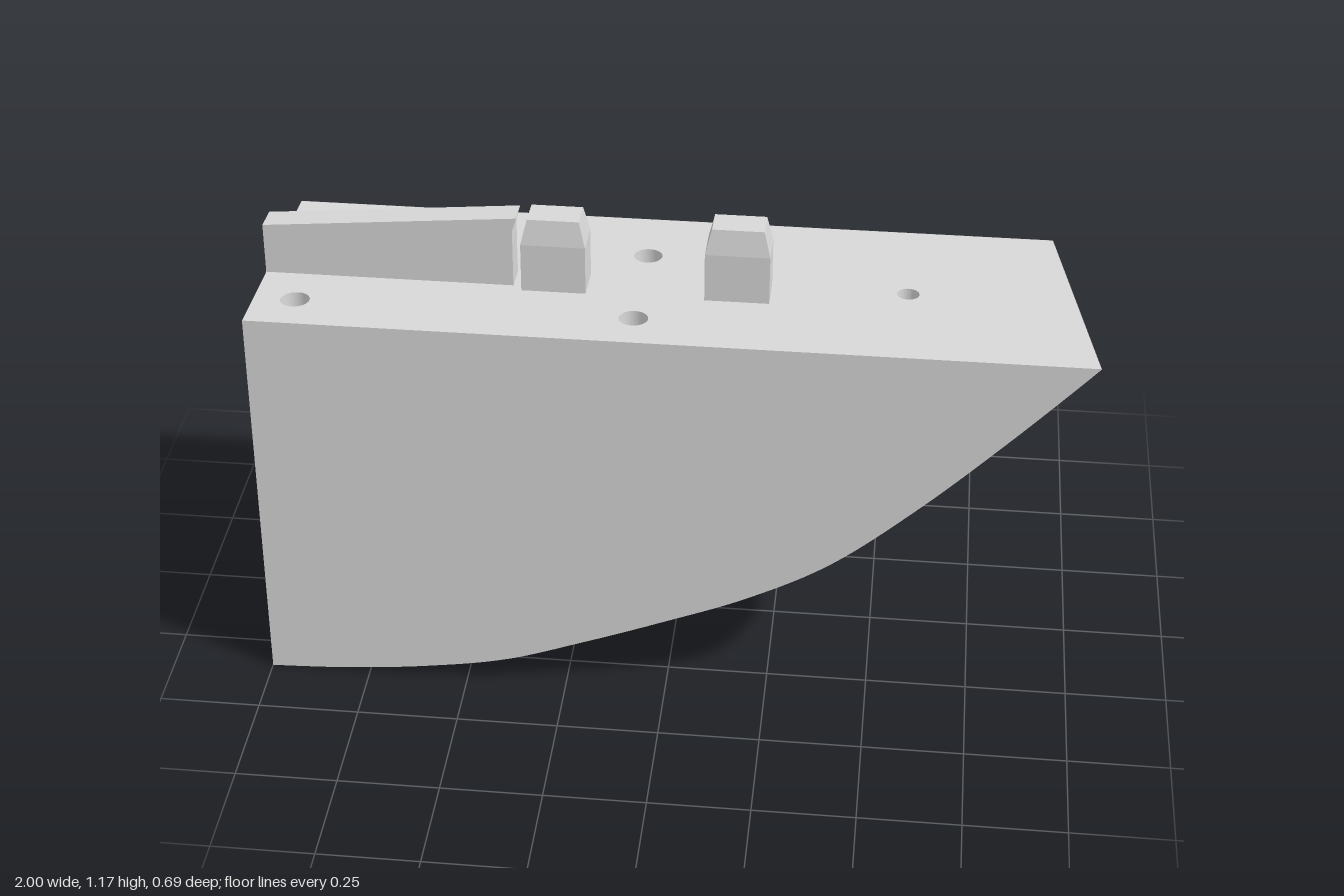
import * as THREE from 'three';
import { mergeGeometries, mergeVertices } from 'three/addons/utils/BufferGeometryUtils.js';

const TOP = 1.005, CEIL = 0.95, FRONT = 0.345, BACK = -0.282, IN_FRONT = 0.285, IN_W = 0.51;

// Height of the lower front edge along the length
const keel = new THREE.SplineCurve([0, 0.003, 0.012, 0.033, 0.07, 0.14, 0.218, 0.303, 0.418, 0.59, 0.79, TOP, 1.23]
  .map((y, i) => new THREE.Vector2(-1.2 + i * 0.2, y)));
const keelY = s => keel.getPoint((s + 1.2) / 2.4).y;
const lerp = THREE.MathUtils.lerp;

// Rise of the rounded back corner, width of the curved skin, and skew of the slanted tip
const rise = s => s < -0.47 ? lerp(0.2, 0.175, (s + 1) / 0.53)
  : s < 0.17 ? lerp(0.175, 0.145, (s + 0.47) / 0.64) : lerp(0.145, 0, (s - 0.17) / 0.83);
const width = s => s < -0.47 ? lerp(0.34, 0.56, (s + 1) / 0.53)
  : lerp(0.56, FRONT - BACK, Math.min(1, (s + 0.47) / 0.64));
const skew = (s, t) => s - 0.1 * t * ((s + 1) / 2) ** 2;
const round = t => 0.15 * t + 0.85 * (1 - Math.sqrt(Math.max(0, 1 - t ** 3)));

const skinY = (s, t) => keelY(s) + rise(s) * round(t);
const outer = (s, t) => [skew(s, t), skinY(s, t), FRONT - width(s) * t];
const inner = (s, t) => {
  const z = IN_FRONT - IN_W * t;
  return [skew(s, t), Math.min(CEIL, skinY(s, Math.min(1, (FRONT - z) / width(s))) + 0.06), z];
};

// Surface sampled from a rule f(a, b) with a, b in 0..1
function patch(f, na, nb, flip = false) {
  const pos = [], idx = [];
  for (let i = 0; i <= na; i++) for (let j = 0; j <= nb; j++) pos.push(...f(i / na, j / nb));
  for (let i = 0; i < na; i++) for (let j = 0; j < nb; j++) {
    const a = i * (nb + 1) + j, b = a + nb + 1;
    if (flip) idx.push(a, b + 1, b, a, a + 1, b + 1);
    else idx.push(a, b, b + 1, a, b + 1, a + 1);
  }
  const g = new THREE.BufferGeometry();
  g.setAttribute('position', new THREE.Float32BufferAttribute(pos, 3));
  g.setIndex(idx);
  return g;
}
function smooth(list) {
  const g = mergeVertices(mergeGeometries(list), 1e-4);
  g.computeVertexNormals();
  return g;
}

// Round openings through the curved skin: s, z, radius
const openings = [[-0.59, 0.083, 0.16], [-0.085, 0.09, 0.16], [0.56, 0.04, 0.05]];
const MARGIN = 1.2;
const toT = (s, z, isOuter) => isOuter ? (FRONT - z) / width(s) : (IN_FRONT - z) / IN_W;
// Point of an opening's edge as skin coordinates
const edgePoint = ([s, z, r], angle, isOuter) => {
  const u = s + r * Math.cos(angle);
  return [u, toT(u, z - r * Math.sin(angle), isOuter)];
};

// Curved sheet made of plain grids plus a square-to-circle ring around each opening
function skin(surf, isOuter, end) {
  const parts = [];
  const grid = (s0, s1, t0, t1) => parts.push(patch((a, b) =>
    surf(lerp(s0, s1, a), lerp(t0, t1, 1 - (1 - b) ** 2)), Math.max(6, Math.ceil((s1 - s0) * 50)), 36, isOuter));
  let from = -1;
  for (const o of openings) {
    const [s, z, r] = o, t = toT(s, z, isOuter);
    const ds = r * MARGIN, dt = ds / (isOuter ? width(s) : IN_W);
    grid(from, s - ds, 0, 1);
    grid(s - ds, s + ds, 0, t - dt);
    grid(s - ds, s + ds, t + dt, 1);
    parts.push(patch((a, b) => {
      const angle = b * Math.PI * 2, c = Math.cos(angle), d = Math.sin(angle);
      const k = 1 / Math.max(Math.abs(c), Math.abs(d)), p = edgePoint(o, angle, isOuter);
      return surf(lerp(p[0], s + ds * k * c, a), lerp(p[1], t + dt * k * d, a));
    }, 5, 80, isOuter));
    from = s + ds;
  }
  grid(from, end, 0, 1);
  return smooth(parts);
}

// Wall of an opening, from the outer sheet to the inner one
const openingWall = o => smooth([patch((a, b) => {
  const angle = a * Math.PI * 2;
  const u = outer(...edgePoint(o, angle, true)), v = inner(...edgePoint(o, angle, false));
  return u.map((n, i) => lerp(n, v[i], b));
}, 80, 1)]);

// Upright sheet between a lower edge rule and a level top
const wall = (edge, top, end, flip) => smooth([patch((a, b) => {
  const [x, y, z] = edge(lerp(-1, end, a));
  return [x, lerp(y, top, b), z];
}, 80, 1, flip)]);

const circle = (x, y, r) => new THREE.Path().absarc(x, y, r, 0, Math.PI * 2, true);

export function createModel() {
  const grey = new THREE.MeshStandardMaterial({ color: 0xd9d9d9, side: THREE.DoubleSide });
  grey.name = 'light grey';
  const black = new THREE.MeshStandardMaterial({ color: 0x020202, side: THREE.DoubleSide });
  black.name = 'black';

  const body = new THREE.Group();
  body.name = 'tiltedBody';
  const add = (name, geo, mat = grey) => {
    const m = new THREE.Mesh(geo, mat);
    m.name = name;
    body.add(m);
    return m;
  };

  // Curved underside and cavity floor
  add('curvedSkin', skin(outer, true, 1));
  add('cavityFloor', skin(inner, false, 0.92));
  openings.forEach(o => add('openingWall', openingWall(o)));

  // Side walls and the ledge under the back wall
  const backEdge = s => [skew(s, 1), keelY(s) + rise(s), BACK];
  add('frontWall', wall(s => outer(s, 0), TOP, 1, false));
  add('backWall', wall(backEdge, TOP, 1, true));
  add('frontWallInside', wall(s => inner(s, 0), CEIL, 0.92, true));
  add('backWallInside', wall(s => inner(s, 1), CEIL, 0.92, false));
  add('backLedge', smooth([patch((a, b) => {
    const s = lerp(-1, 0.17, a), p = outer(s, 1), q = backEdge(s);
    return p.map((n, i) => lerp(n, q[i], b));
  }, 40, 1, true)]), black);

  // Open end rim
  const V = (x, y) => new THREE.Vector2(x, y);
  const section = f => Array.from({ length: 33 }, (_, i) => {
    const p = f(-1, i / 32);
    return V(p[2], p[1]);
  });
  const rim = new THREE.Shape([V(FRONT, TOP), ...section(outer), V(BACK, backEdge(-1)[1]), V(BACK, TOP)]);
  rim.holes.push(new THREE.Path([V(IN_FRONT, CEIL), ...section(inner), V(IN_FRONT - IN_W, CEIL)]));
  add('openEndRim', new THREE.ShapeGeometry(rim).rotateY(-Math.PI / 2).translate(-1, 0, 0));

  // Top plate with screw holes, its underside drawn in at the tip
  const e = 0.001;
  const plate = new THREE.Shape([V(-1 + e, -FRONT + e), V(1 - e, -FRONT + e), V(0.9 - e, -BACK - e), V(-1 + e, -BACK - e)]);
  for (const x of [-0.9, -0.09]) for (const z of [-0.086, 0.229]) plate.holes.push(circle(x, -z, 0.035));
  plate.holes.push(circle(0.55, -0.037, 0.027));
  const plateGeo = new THREE.ExtrudeGeometry(plate, { depth: TOP - CEIL, bevelEnabled: false, curveSegments: 24 });
  const pp = plateGeo.attributes.position;
  for (let i = 0; i < pp.count; i++) if (pp.getZ(i) < 0.01 && pp.getX(i) > 0.8) pp.setX(i, pp.getX(i) - 0.07);
  plateGeo.computeVertexNormals();
  add('topPlate', plateGeo.rotateX(-Math.PI / 2).translate(0, CEIL, 0));

  // Sloped rail on top
  const rail = new THREE.Shape([V(-1, 1), V(-0.395, 1), V(-0.395, 1.15), V(-0.385, 1.185), V(-1, 1.132)]);
  add('rail', new THREE.ExtrudeGeometry(rail, { depth: 0.07, bevelEnabled: false }).translate(0, 0, 0.031));

  // Two tabs with tapered heads
  for (const x of [-0.295, 0.145]) {
    const box = new THREE.BoxGeometry(0.155, 0.19, 0.1, 1, 3, 1);
    const p = box.attributes.position;
    for (let i = 0; i < p.count; i++) if (p.getY(i) > 0.08) p.setXYZ(i, p.getX(i) * 0.8, p.getY(i), p.getZ(i) * 0.8);
    const tab = box.toNonIndexed();
    tab.computeVertexNormals();
    add('tab', tab).position.set(x, TOP + 0.09, 0.073);
  }

  // Small arm with an eyelet inside the open end, on a post
  const arm = new THREE.Shape();
  arm.moveTo(-0.99, -0.04);
  arm.lineTo(-0.8, -0.035);
  arm.absarc(-0.8, 0, 0.035, -Math.PI / 2, Math.PI / 2, false);
  arm.lineTo(-0.99, 0.04);
  arm.holes.push(circle(-0.8, 0, 0.018));
  add('innerArm', new THREE.ExtrudeGeometry(arm, { depth: 0.055, bevelEnabled: false })
    .rotateX(-Math.PI / 2).translate(0, 0.2, 0.2));
  add('armPost', new THREE.CylinderGeometry(0.034, 0.034, 0.13, 24)).position.set(-0.8, 0.135, 0.2);

  body.rotation.x = -0.064;
  body.position.y = -0.022;
  const model = new THREE.Group();
  model.name = 'curvedHousing';
  model.add(body);
  return model;
}
